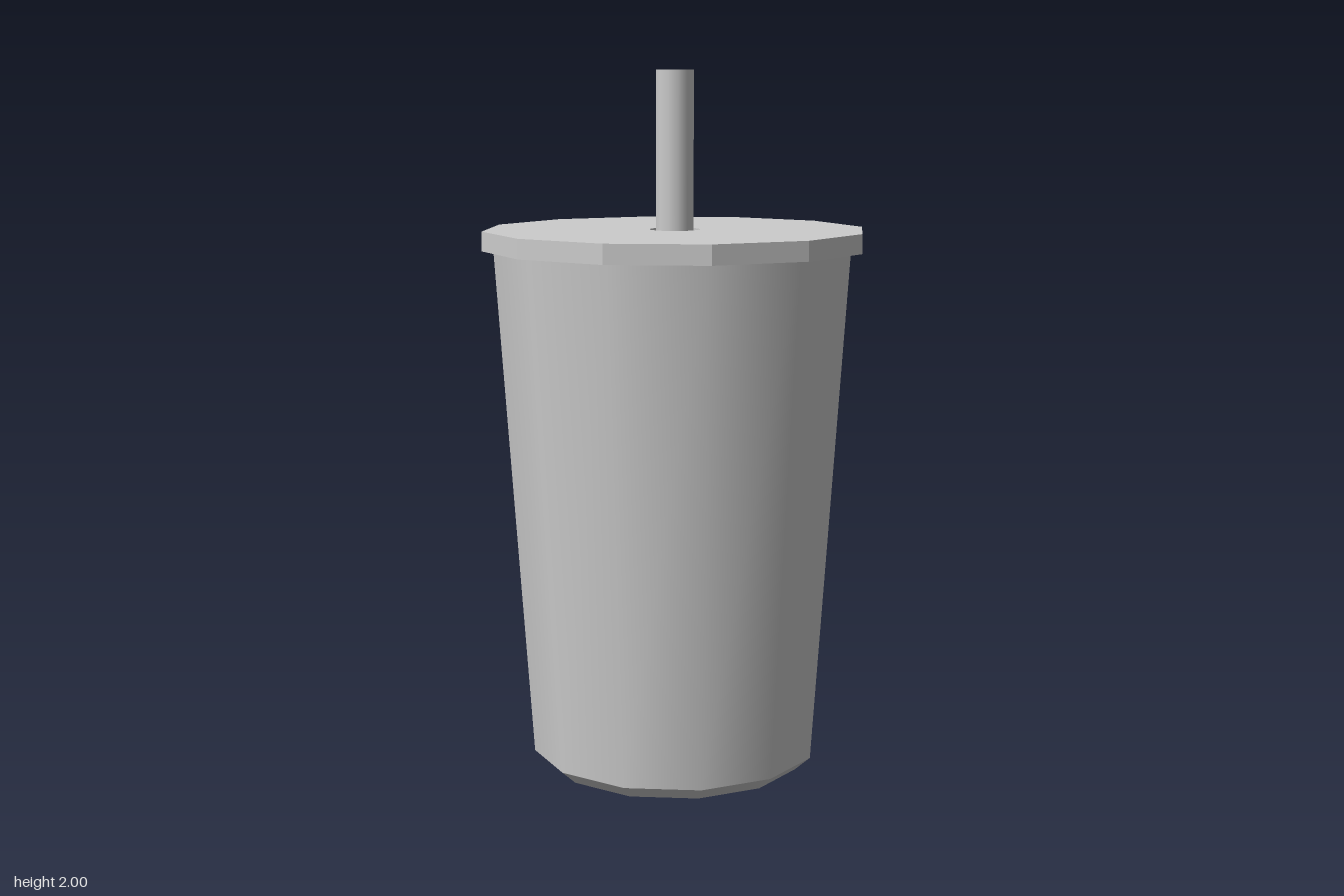
import * as THREE from 'three';

const SIDES = 12;

export function createModel() {
  const model = new THREE.Group();
  const grey = new THREE.MeshStandardMaterial({ color: 0xcccccc, side: THREE.DoubleSide });
  grey.name = 'plain grey';

  const add = (name, geometry, y = 0) => {
    const mesh = new THREE.Mesh(geometry, grey);
    mesh.name = name;
    mesh.position.y = y;
    model.add(mesh);
    return mesh;
  };
  // Open smooth tube section between two heights
  const wall = (name, rBottom, rTop, y0, y1, sides = SIDES) =>
    add(name, new THREE.CylinderGeometry(rTop, rBottom, y1 - y0, sides, 1, true), (y0 + y1) / 2);
  // Flat horizontal disc or ring, facing up or down
  const flat = (name, geometry, y, up) => {
    add(name, geometry.rotateX(up ? -Math.PI / 2 : Math.PI / 2), y);
  };

  // Cup: tapered wall, chamfered foot, base and inner floor
  wall('cupWall', 0.415, 0.515, 0.04, 1.505);
  wall('cupFoot', 0.37, 0.415, 0, 0.04);
  flat('cupBase', new THREE.CircleGeometry(0.37, SIDES), 0, false);
  flat('cupFloor', new THREE.CircleGeometry(0.41, SIDES), 0.04, true);

  // Lid: faceted plate with a round hole for the straw
  const outline = new THREE.Shape();
  for (let i = 0; i < SIDES; i++) {
    const a = (i / SIDES) * Math.PI * 2;
    const p = [0.547 * Math.cos(a), 0.547 * Math.sin(a)];
    if (i) outline.lineTo(...p); else outline.moveTo(...p);
  }
  outline.closePath();
  outline.holes.push(new THREE.Path().absarc(0, 0, 0.072, 0, Math.PI * 2, true));
  const lid = new THREE.ExtrudeGeometry(outline, { depth: 0.055, bevelEnabled: false, curveSegments: 8 });
  add('lid', lid.rotateX(-Math.PI / 2), 1.5);

  // Straw: thin hollow tube reaching down into the cup
  wall('strawOuter', 0.054, 0.054, 0.05, 2);
  const inner = new THREE.CylinderGeometry(0.048, 0.048, 1.95, SIDES, 1, true);
  add('strawInner', inner, 1.025);
  flat('strawRim', new THREE.RingGeometry(0.048, 0.054, SIDES).rotateZ(Math.PI / 2), 2, true);

  return model;
}
